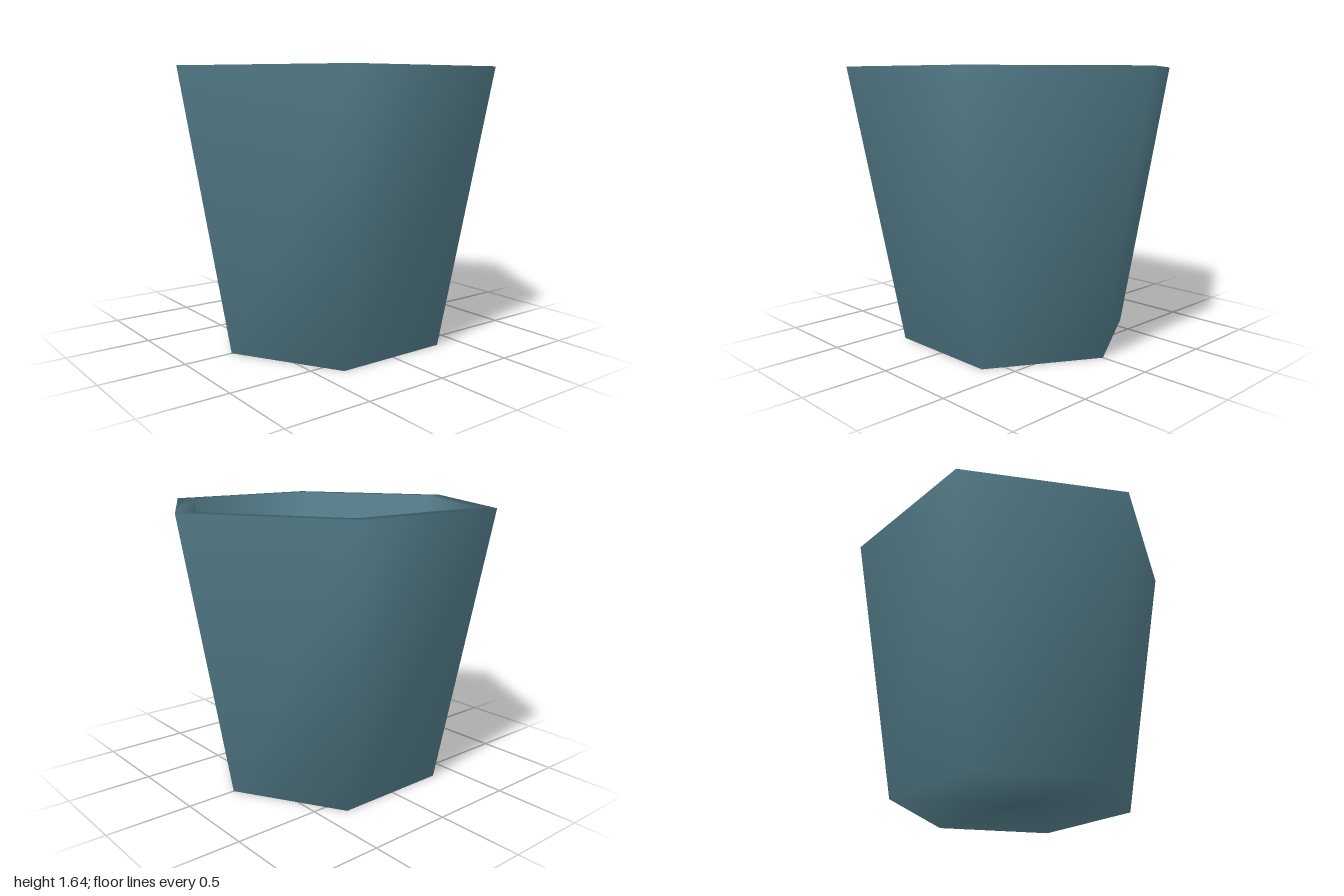
import * as THREE from 'three';

const SIDES = 6;

// Cross-section of the cup: underside, outer wall, rim, inner wall, floor.
// The third value picks which way the quads of the band above it are split.
const PROFILE = [
  [0.705, 0, true],
  [1, 1.64, false],
  [0.88, 1.64, false],
  [0.62, 0.16, false],
];

function hexCupGeometry() {
  const positions = [];
  const index = [];
  for (const [r, y] of PROFILE) {
    for (let i = 0; i < SIDES; i++) {
      const a = (i / SIDES) * Math.PI * 2;
      positions.push(r * Math.sin(a), y, r * Math.cos(a));
    }
  }
  const last = PROFILE.length - 1;
  const at = (ring, i) => ring * SIDES + (i % SIDES);
  const baseCentre = PROFILE.length * SIDES;
  const floorCentre = baseCentre + 1;
  positions.push(0, PROFILE[0][1], 0, 0, PROFILE[last][1], 0);

  for (let i = 0; i < SIDES; i++) {
    // Walls and rim
    for (let ring = 0; ring < last; ring++) {
      const a = at(ring, i), b = at(ring, i + 1);
      const c = at(ring + 1, i + 1), d = at(ring + 1, i);
      if (PROFILE[ring][2]) index.push(a, b, c, a, c, d);
      else index.push(a, b, d, b, c, d);
    }
    // Underside and inner floor
    index.push(baseCentre, at(0, i + 1), at(0, i));
    index.push(floorCentre, at(last, i), at(last, i + 1));
  }

  const geometry = new THREE.BufferGeometry();
  geometry.setAttribute('position', new THREE.Float32BufferAttribute(positions, 3));
  geometry.setIndex(index);
  geometry.computeVertexNormals(); // shared corners give soft shading
  return geometry;
}

export function createModel() {
  const group = new THREE.Group();
  group.name = 'hexagonalCup';

  const glaze = new THREE.MeshStandardMaterial({ color: 0x56818f });
  glaze.name = 'slate blue glaze';

  const cup = new THREE.Mesh(hexCupGeometry(), glaze);
  cup.name = 'cupBody';
  group.add(cup);
  return group;
}
